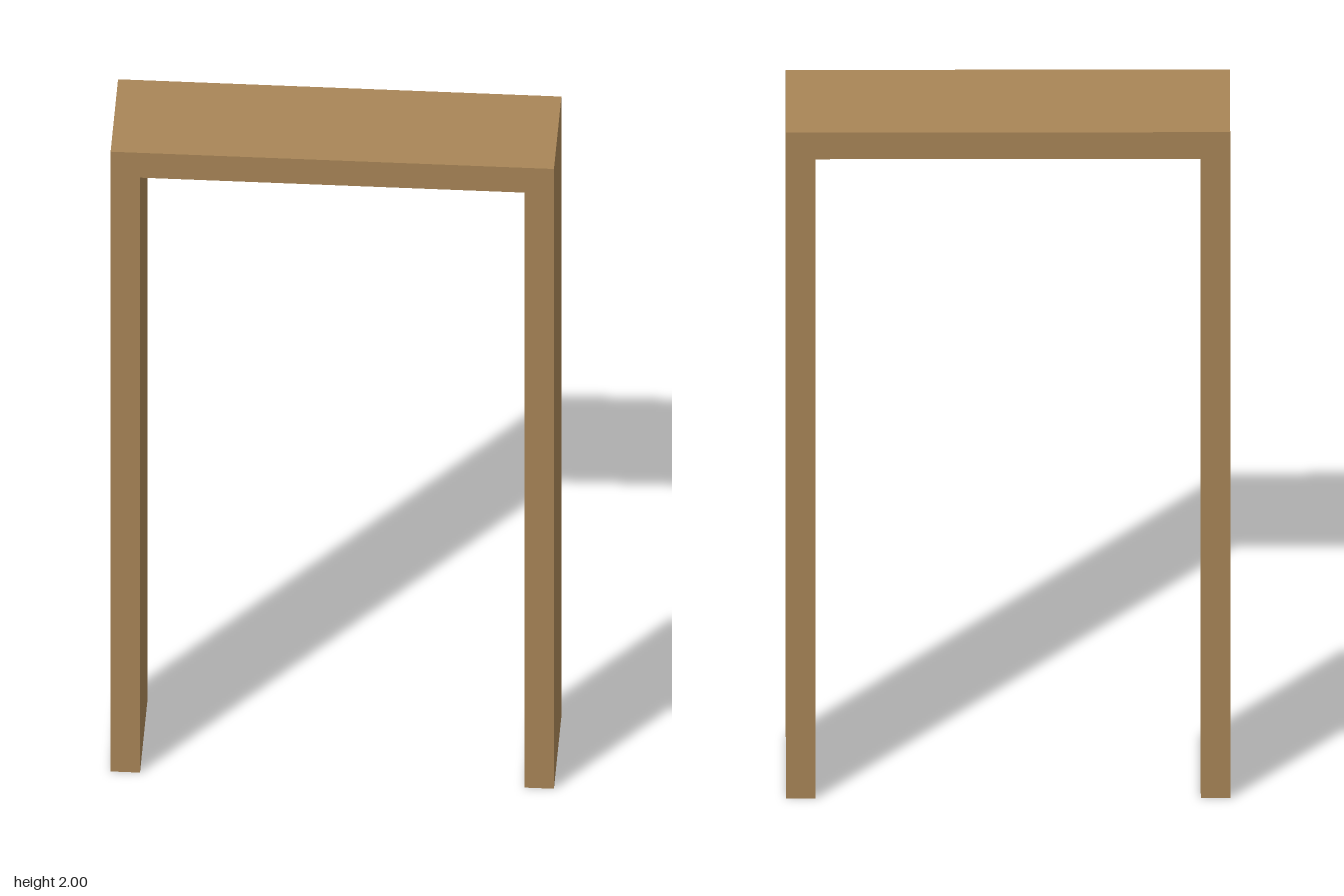
import * as THREE from 'three';

const HALF_W = 0.565, INNER = 0.49, HEIGHT = 2, SOFFIT = 1.92, HALF_D = 0.15;

export function createModel() {
  const group = new THREE.Group();
  group.name = 'doorFrame';
  const wood = new THREE.MeshStandardMaterial({ color: 0xa98657, side: THREE.DoubleSide });
  wood.name = 'wood';

  const add = (name, geometry) => {
    const mesh = new THREE.Mesh(geometry, wood);
    mesh.name = name;
    group.add(mesh);
    return mesh;
  };

  // Outer run up, over and down, then the opening back again
  const outer = [[-HALF_W, 0], [-HALF_W, HEIGHT], [HALF_W, HEIGHT], [HALF_W, 0]];
  const inner = [[INNER, 0], [INNER, SOFFIT], [-INNER, SOFFIT], [-INNER, 0]];

  // Front and back faces of the frame
  const outline = new THREE.Shape([...outer, ...inner].map(([x, y]) => new THREE.Vector2(x, y)));
  add('frontFace', new THREE.ShapeGeometry(outline)).position.z = HALF_D;
  const back = add('backFace', new THREE.ShapeGeometry(outline));
  back.position.z = -HALF_D;
  back.rotation.y = Math.PI;

  // Flat boards across the depth; the feet of the hollow posts stay open
  const addBoards = (path, names) => names.forEach((name, i) => {
    const [[ax, ay], [bx, by]] = [path[i], path[i + 1]];
    const geometry = new THREE.BufferGeometry();
    geometry.setAttribute('position', new THREE.Float32BufferAttribute([
      ax, ay, HALF_D, bx, by, HALF_D, bx, by, -HALF_D, ax, ay, -HALF_D,
    ], 3));
    geometry.setIndex([0, 1, 2, 0, 2, 3]);
    geometry.computeVertexNormals();
    add(name, geometry);
  });
  addBoards(outer, ['rightOuterSide', 'top', 'leftOuterSide']);
  addBoards(inner, ['leftInnerSide', 'soffit', 'rightInnerSide']);

  return group;
}
